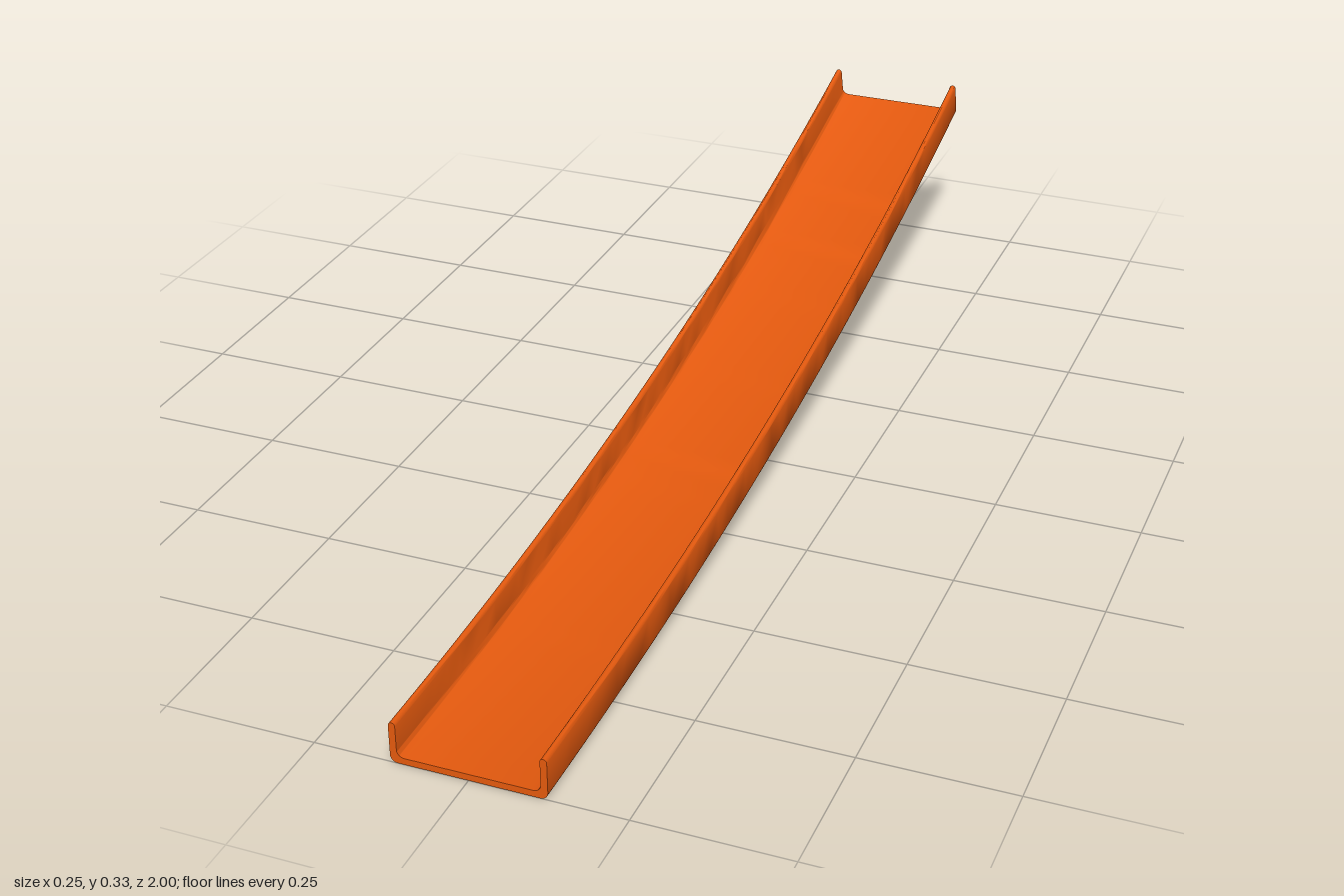
import * as THREE from 'three';
import { toCreasedNormals } from 'three/addons/utils/BufferGeometryUtils.js';

const HALF_WIDTH = 0.125, HEIGHT = 0.07, WALL = 0.011, FILLET = 0.012;
const ARC = Math.PI / 12;            // the track climbs through 15 degrees
const RADIUS = 2 / Math.sin(ARC);    // bend radius of the underside

// U-shaped cross-section: rounded outer corners, inner fillets, rounded lips
function channelProfile() {
  const w = HALF_WIDTH, h = HEIGHT, f = FILLET, r = WALL / 2, i = w - WALL, H = Math.PI / 2;
  const s = new THREE.Shape();
  s.moveTo(-w + f, 0);
  s.lineTo(w - f, 0);
  s.absarc(w - f, f, f, -H, 0, false);
  s.lineTo(w, h - r);
  s.absarc(w - r, h - r, r, 0, Math.PI, false);
  s.lineTo(i, WALL + f);
  s.absarc(i - f, WALL + f, f, 0, -H, true);
  s.lineTo(-i + f, WALL);
  s.absarc(-i + f, WALL + f, f, -H, -Math.PI, true);
  s.lineTo(-i, h - r);
  s.absarc(-w + r, h - r, r, 0, Math.PI, false);
  s.lineTo(-w, f);
  s.absarc(-w + f, f, f, Math.PI, Math.PI + H, false);
  return s;
}

// Wrap a straight extrusion (z from 0 at the back to 1 at the front) onto the arc
function bend(geometry) {
  const p = geometry.attributes.position;
  for (let k = 0; k < p.count; k++) {
    const a = (1 - p.getZ(k)) * ARC, r = RADIUS - p.getY(k);
    p.setXYZ(k, p.getX(k), RADIUS - r * Math.cos(a), 1 - r * Math.sin(a));
  }
  return geometry;
}

export function createModel() {
  const group = new THREE.Group();
  group.name = 'curvedTrack';
  const straight = new THREE.ExtrudeGeometry(channelProfile(), {
    depth: 1, steps: 48, curveSegments: 8, bevelEnabled: false,
  });
  const track = new THREE.Mesh(
    toCreasedNormals(bend(straight), 0.6),
    new THREE.MeshStandardMaterial({ color: 0xe65a0e }),
  );
  track.name = 'channel';
  group.add(track);
  return group;
}
